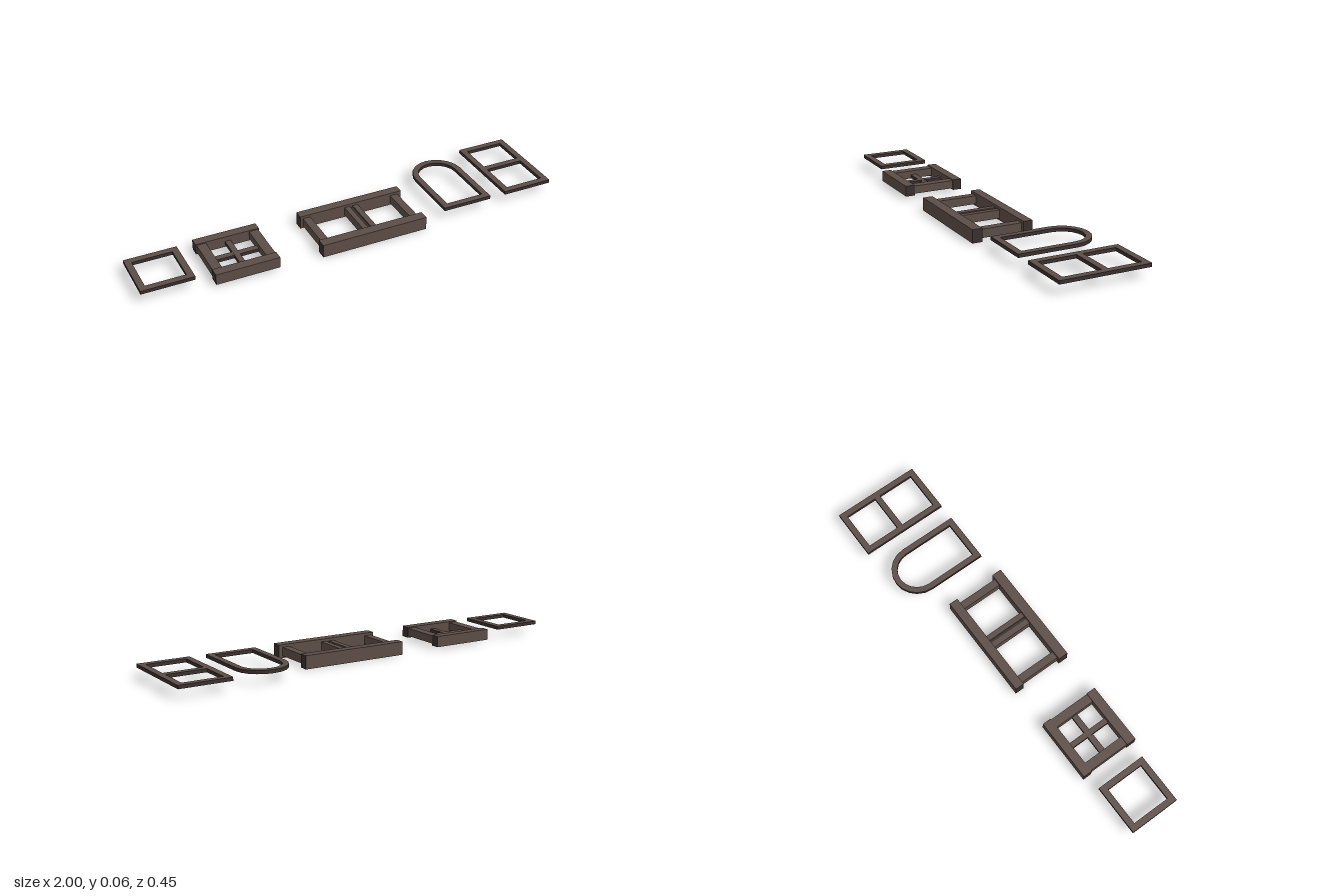
import * as THREE from 'three';

export function createModel() {
  const model = new THREE.Group();
  const brown = new THREE.MeshStandardMaterial({ color: 0x5c4d47 });
  brown.name = 'weathered brown';
  const dark = new THREE.MeshStandardMaterial({ color: 0x382f2d });
  dark.name = 'dark wood edge';

  // Box from its limits; face materials in order +x, -x, +y, -y, +z, -z
  function bar(parent, name, x0, x1, y0, y1, z0, z1, mats = brown) {
    const mesh = new THREE.Mesh(new THREE.BoxGeometry(x1 - x0, y1 - y0, z1 - z0), mats);
    mesh.position.set((x0 + x1) / 2, (y0 + y1) / 2, (z0 + z1) / 2);
    mesh.name = name;
    parent.add(mesh);
  }
  function group(name) {
    const g = new THREE.Group();
    g.name = name;
    model.add(g);
    return g;
  }
  const darkEnds = [dark, dark, brown, brown, brown, brown];
  const darkBelow = [dark, dark, brown, dark, dark, dark];

  // Closed outline on the ground plane, with an optional round head at the back
  function outline(Type, x0, x1, z0, z1, arched = false) {
    const s = new Type();
    const r = (x1 - x0) / 2, cx = (x0 + x1) / 2;
    s.moveTo(x0, -z1);
    s.lineTo(x1, -z1);
    if (arched) {
      for (let i = 0; i <= 10; i++) {
        const a = (Math.PI * i) / 10;
        s.lineTo(cx + r * Math.cos(a), -(z0 + r) + r * Math.sin(a));
      }
    } else {
      s.lineTo(x1, -z0);
      s.lineTo(x0, -z0);
    }
    s.closePath();
    return s;
  }

  // Thin frame: dark body with a brown upper face
  function thinFrame(name, outer, holes) {
    const g = group(name);
    outer.holes = holes;
    const body = new THREE.ExtrudeGeometry(outer, { depth: 0.016, bevelEnabled: false });
    body.rotateX(-Math.PI / 2).translate(0, 0.046, 0);
    const face = new THREE.ShapeGeometry(outer);
    face.rotateX(-Math.PI / 2).translate(0, 0.063, 0);
    const b = new THREE.Mesh(body, dark);
    b.name = name + 'Body';
    const f = new THREE.Mesh(face, brown);
    f.name = name + 'Face';
    g.add(b, f);
  }
  const { Shape, Path } = THREE;
  thinFrame('squareFrame', outline(Shape, -1, -0.76, -0.047, 0.193),
    [outline(Path, -0.971, -0.789, -0.018, 0.164)]);
  thinFrame('archedFrame', outline(Shape, 0.437, 0.677, -0.205, 0.193, true),
    [outline(Path, 0.464, 0.65, -0.178, 0.164, true)]);
  thinFrame('tallFrame', outline(Shape, 0.757, 1, -0.225, 0.193),
    [outline(Path, 0.785, 0.972, -0.197, -0.04),
      outline(Path, 0.785, 0.972, -0.012, 0.164)]);

  // Deep four-pane window
  const pane = group('fourPaneWindow');
  bar(pane, 'backRail', -0.682, -0.385, 0.01, 0.061, -0.067, -0.025, darkEnds);
  bar(pane, 'frontRail', -0.68, -0.387, 0.01, 0.061, 0.175, 0.22, darkEnds);
  bar(pane, 'rightStile', -0.677, -0.634, 0.018, 0.056, -0.03, 0.18);
  bar(pane, 'leftStile', -0.432, -0.389, 0.018, 0.056, -0.03, 0.18);
  bar(pane, 'uprightMuntin', -0.546, -0.52, 0.02, 0.038, -0.03, 0.18, darkBelow);
  bar(pane, 'crossMuntin', -0.64, -0.426, 0.021, 0.037, 0.06, 0.088, darkBelow);

  // Wide double window with heavy lintel and sill
  const wide = group('doubleWindow');
  bar(wide, 'lintel', -0.185, 0.325, 0, 0.062, -0.067, -0.024, darkEnds);
  bar(wide, 'sill', -0.185, 0.325, 0, 0.062, 0.175, 0.222, darkEnds);
  bar(wide, 'rightPost', -0.172, -0.136, 0.01, 0.05, -0.03, 0.18);
  bar(wide, 'leftPost', 0.27, 0.306, 0.01, 0.05, -0.03, 0.18);
  // Centre post as a pair of stiles with a groove between
  bar(wide, 'centreStileRight', 0.036, 0.062, 0.01, 0.05, -0.03, 0.18);
  bar(wide, 'centreStileLeft', 0.076, 0.102, 0.01, 0.05, -0.03, 0.18);
  bar(wide, 'centreGroove', 0.06, 0.078, 0.01, 0.044, -0.03, 0.18, [dark, dark, dark, brown, dark, dark]);

  return model;
}
